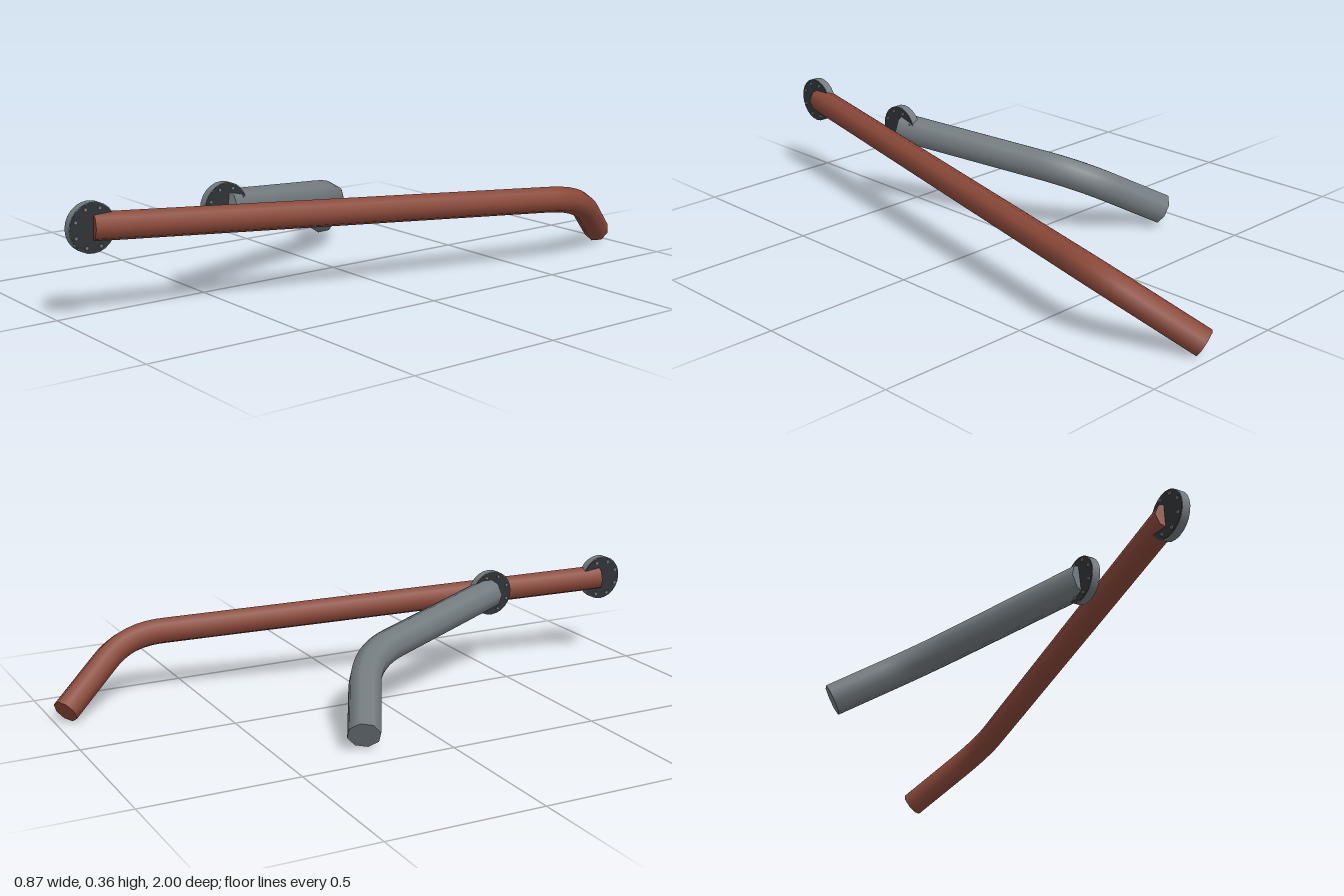
import * as THREE from 'three';

const SIDES = 8;

// Flat end cap made from one ring of the tube
function capGeometry(tube, ring, centre, flip) {
  const p = tube.attributes.position;
  const at = (i) => {
    const k = ring * (SIDES + 1) + i;
    return [p.getX(k), p.getY(k), p.getZ(k)];
  };
  const pos = [];
  for (let i = 0; i < SIDES; i++) {
    const [a, b] = flip ? [i + 1, i] : [i, i + 1];
    pos.push(...centre.toArray(), ...at(a), ...at(b));
  }
  const g = new THREE.BufferGeometry();
  g.setAttribute('position', new THREE.Float32BufferAttribute(pos, 3));
  g.computeVertexNormals();
  return g;
}

// Straight pipe, rounded elbow, straight pipe
function makePipe(name, start, corner, end, radius, bend, material) {
  const group = new THREE.Group();
  group.name = name;
  const [s, c, e] = [start, corner, end].map((v) => new THREE.Vector3(...v));
  const a = c.clone().add(s.clone().sub(c).setLength(bend));
  const b = c.clone().add(e.clone().sub(c).setLength(bend));
  const path = new THREE.CurvePath();
  path.add(new THREE.LineCurve3(s, a));
  path.add(new THREE.QuadraticBezierCurve3(a, c, b));
  path.add(new THREE.LineCurve3(b, e));
  const segments = 64;
  const tube = new THREE.TubeGeometry(path, segments, radius, SIDES, false);
  const add = (part, geometry, mat) => {
    const mesh = new THREE.Mesh(geometry, mat);
    mesh.name = part;
    group.add(mesh);
  };
  const capMaterial = material.clone();
  capMaterial.side = THREE.DoubleSide;
  add('pipeWall', tube, material);
  add('startCap', capGeometry(tube, 0, s, false), capMaterial);
  add('endCap', capGeometry(tube, segments, e, true), capMaterial);
  return group;
}

// Bolted disc whose axis runs along x
function makeFlange(name, x, y, z, rimMaterial, faceMaterial) {
  const group = new THREE.Group();
  group.name = name;
  const add = (part, radius, length, sides, mat, py = 0, pz = 0) => {
    const g = new THREE.CylinderGeometry(radius, radius, length, sides);
    g.rotateZ(Math.PI / 2);
    const mesh = new THREE.Mesh(g, mat);
    mesh.name = part;
    mesh.position.set(0, py, pz);
    group.add(mesh);
  };
  add('flangeDisc', 0.075, 0.027, 24, rimMaterial);
  add('flangeFaces', 0.073, 0.029, 24, faceMaterial);
  for (let i = 0; i < 8; i++) {
    const t = (i / 8) * Math.PI * 2 + Math.PI / 8;
    add('bolt', 0.006, 0.038, 6, rimMaterial, Math.sin(t) * 0.06, Math.cos(t) * 0.06);
  }
  group.position.set(x, y, z);
  return group;
}

export function createModel() {
  const rust = new THREE.MeshStandardMaterial({ color: 0x8a4839 });
  rust.name = 'rust red';
  const steel = new THREE.MeshStandardMaterial({ color: 0x737b80 });
  steel.name = 'steel grey';
  const dark = new THREE.MeshStandardMaterial({ color: 0x303336 });
  dark.name = 'dark grey';

  const model = new THREE.Group();
  model.name = 'pipes';
  model.add(
    makePipe('longPipe', [0.08, 0.285, 0.92], [0.406, 0.212, -0.71], [0.25, 0.04, -0.968], 0.043, 0.12, rust),
    makePipe('shortPipe', [0.08, 0.285, 0.475], [-0.152, 0.207, -0.12], [-0.41, 0.057, -0.256], 0.052, 0.13, steel),
    makeFlange('longPipeFlange', 0.081, 0.285, 0.925, steel, dark),
    makeFlange('shortPipeFlange', 0.081, 0.285, 0.475, steel, dark)
  );
  return model;
}
